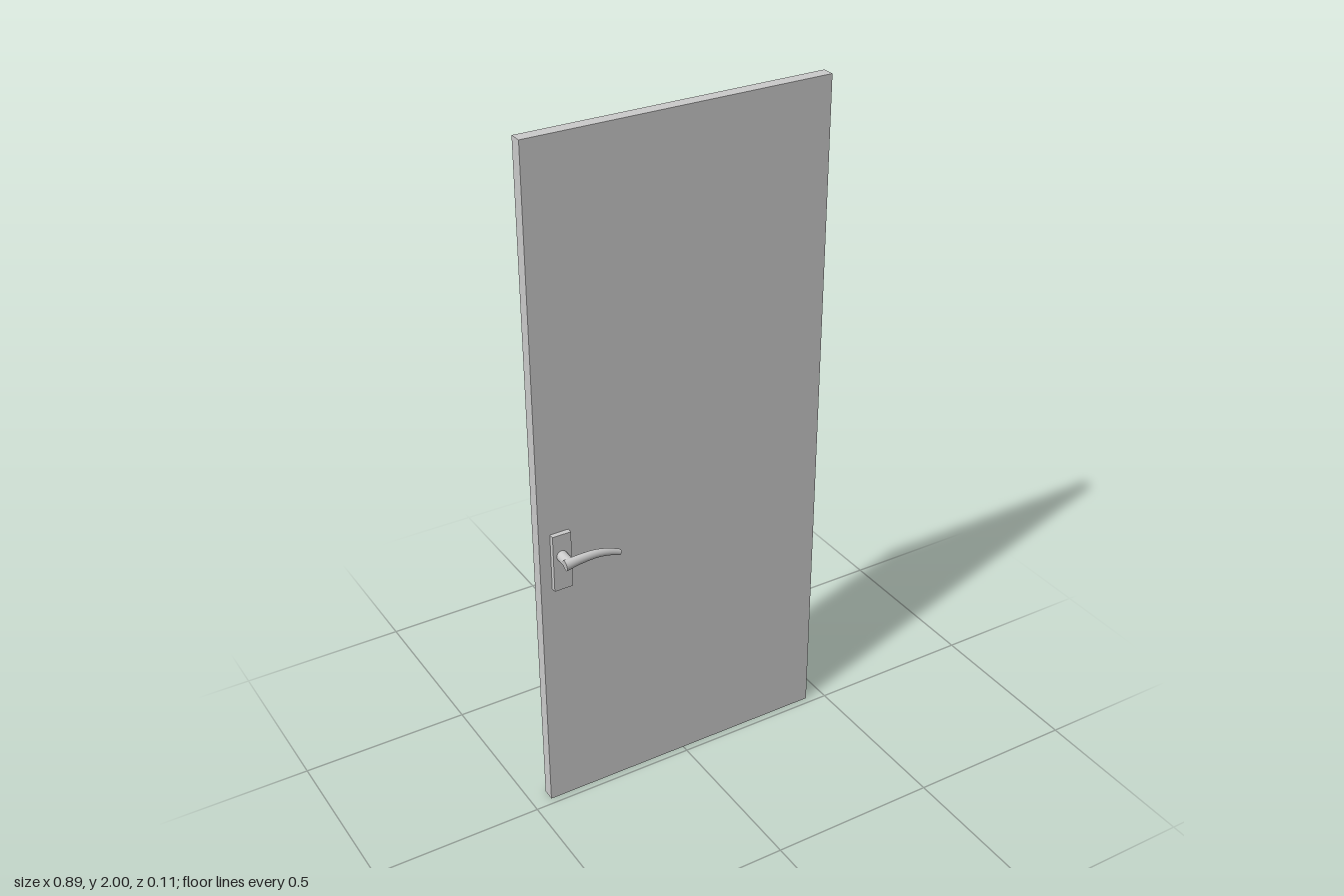
import * as THREE from 'three';

const HANDLE_X = -0.385, HANDLE_Y = 0.83;

export function createModel() {
  const group = new THREE.Group();
  const material = new THREE.MeshStandardMaterial({ color: 0xcccccc });

  const add = (name, geometry, x = 0, y = 0, z = 0) => {
    const mesh = new THREE.Mesh(geometry, material);
    mesh.name = name;
    mesh.position.set(x, y, z);
    group.add(mesh);
  };

  // Flat door leaf
  add('doorPanel', new THREE.BoxGeometry(0.888, 2, 0.036), 0, 1, -0.038);

  // Backplate of the handle
  add('backplate', new THREE.BoxGeometry(0.055, 0.173, 0.015), -0.383, 0.809, -0.0125);

  // Round stem coming out of the backplate
  add('handleStem', new THREE.CylinderGeometry(0.0155, 0.0155, 0.048, 24).rotateX(Math.PI / 2),
    HANDLE_X, HANDLE_Y, 0.019);

  // Lever: a rod that tapers and droops towards its tip
  add('handleLever', leverGeometry());

  return group;
}

function leverGeometry() {
  const path = new THREE.CatmullRomCurve3([
    new THREE.Vector3(-0.4, 0.829, 0.041),
    new THREE.Vector3(-0.36, 0.834, 0.0405),
    new THREE.Vector3(-0.31, 0.835, 0.04),
    new THREE.Vector3(-0.27, 0.828, 0.04),
    new THREE.Vector3(-0.234, 0.815, 0.04),
  ]);
  const geometry = new THREE.CylinderGeometry(1, 1, 1, 20, 16, false, Math.PI / 2);
  geometry.rotateZ(-Math.PI / 2);
  const pos = geometry.attributes.position;
  for (let i = 0; i < pos.count; i++) {
    const t = THREE.MathUtils.clamp(pos.getX(i) + 0.5, 0, 1);
    const p = path.getPoint(t), tangent = path.getTangent(t);
    const up = pos.getY(i) * THREE.MathUtils.lerp(0.0165, 0.0085, t);
    const out = pos.getZ(i) * THREE.MathUtils.lerp(0.0125, 0.0075, t);
    pos.setXYZ(i, p.x - tangent.y * up, p.y + tangent.x * up, p.z + out);
  }
  geometry.computeVertexNormals();
  return geometry;
}
